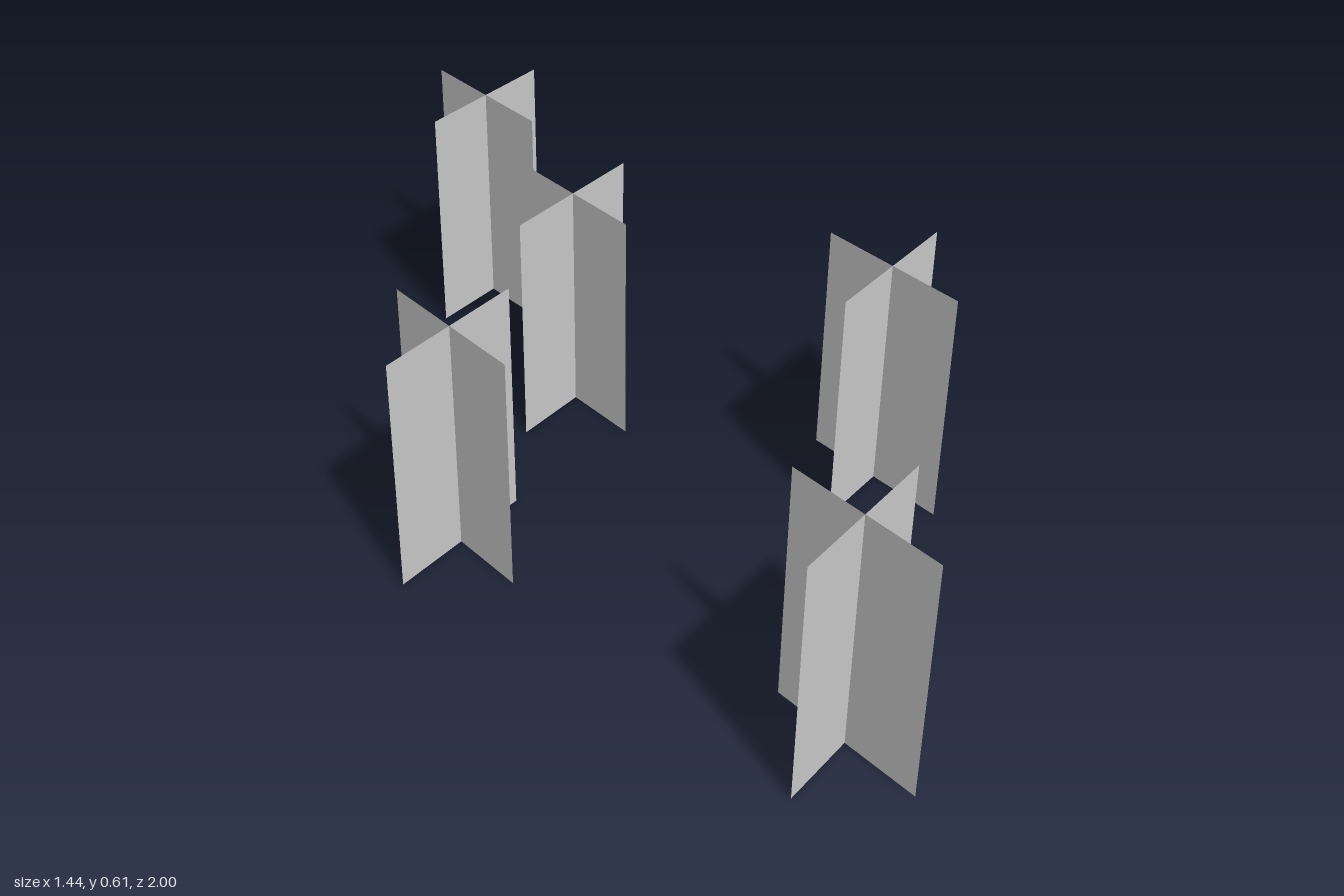
import * as THREE from 'three';

const WIDTH = 0.4, HEIGHT = 0.608;

// Ground positions [x, z] of the five plants
const SPOTS = [[-0.564, -0.825], [-0.232, -0.331], [0.56, -0.111], [-0.388, 0.3], [0.56, 0.823]];

// Headings of the two crossed cards
const HEADINGS = [-0.698, 1.075];

export function createModel() {
  const model = new THREE.Group();
  model.name = 'grassClumps';
  const material = new THREE.MeshStandardMaterial({ color: 0xcccccc, side: THREE.DoubleSide });

  // One upright card standing on its lower edge
  const card = new THREE.PlaneGeometry(WIDTH, HEIGHT).translate(0, HEIGHT / 2, 0);

  SPOTS.forEach(([x, z], i) => {
    const clump = new THREE.Group();
    clump.name = `grassClump${i + 1}`;
    HEADINGS.forEach((angle, j) => {
      const mesh = new THREE.Mesh(card, material);
      mesh.name = `crossedCard${j + 1}`;
      mesh.rotation.y = angle;
      clump.add(mesh);
    });
    // Each clump leans very slightly sideways
    clump.position.set(x - 0.002, 0.002, z);
    clump.rotation.z = -0.008;
    model.add(clump);
  });
  return model;
}
